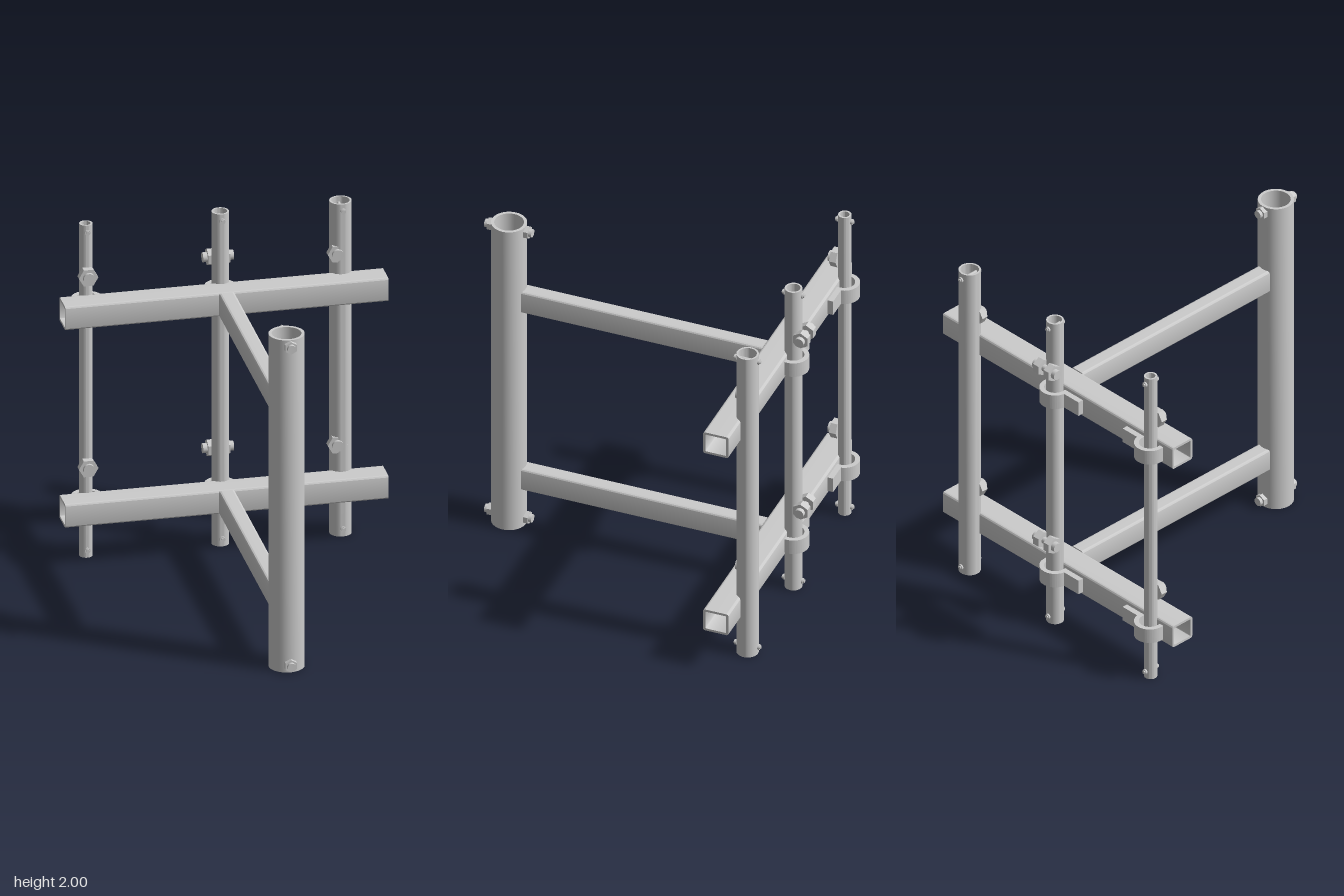
import * as THREE from 'three';
import { toCreasedNormals } from 'three/addons/utils/BufferGeometryUtils.js';

const material = new THREE.MeshStandardMaterial({ color: 0xcccccc });
const BACK_Z = -0.855; // line of the three thin poles
const BEAM_H = 0.14;
const LEVELS = [0.32, 1.51]; // heights of the two frames
const BOLT_LEVELS = [0.55, 1.7];
const END_LEVELS = [0.045, 1.96];

function add(parent, name, geometry, x = 0, y = 0, z = 0) {
  const mesh = new THREE.Mesh(geometry, material);
  mesh.name = name;
  mesh.position.set(x, y, z);
  parent.add(mesh);
  return mesh;
}

function extrude(shape, depth) {
  const geometry = new THREE.ExtrudeGeometry(shape, { depth, bevelEnabled: false, curveSegments: 20 });
  return toCreasedNormals(geometry, 0.6);
}

// Upright hollow pole
function poleGeometry(radius, wall) {
  const shape = new THREE.Shape().absarc(0, 0, radius, 0, Math.PI * 2);
  shape.holes.push(new THREE.Path().absarc(0, 0, radius - wall, 0, Math.PI * 2));
  return extrude(shape, 2).rotateX(-Math.PI / 2);
}

function roundedRect(path, w, h, r) {
  const x = w / 2, y = h / 2;
  path.absarc(x - r, y - r, r, 0, Math.PI / 2);
  path.absarc(-x + r, y - r, r, Math.PI / 2, Math.PI);
  path.absarc(-x + r, -y + r, r, Math.PI, Math.PI * 1.5);
  path.absarc(x - r, -y + r, r, Math.PI * 1.5, Math.PI * 2);
  path.closePath();
  return path;
}

// Hollow box section lying along z, centred
function boxTube(w, h, length) {
  const shape = roundedRect(new THREE.Shape(), w, h, 0.014);
  shape.holes.push(roundedRect(new THREE.Path(), w - 0.028, h - 0.028, 0.006));
  return extrude(shape, length).translate(0, 0, -length / 2);
}

// Hex head with a round boss, pointing along +z from its base
function boltHead(name, radius, thickness, bossRadius, bossLength) {
  const group = new THREE.Group();
  group.name = name;
  const hex = new THREE.CylinderGeometry(radius, radius, thickness, 6).rotateX(Math.PI / 2);
  add(group, 'hexHead', toCreasedNormals(hex, 0.5), 0, 0, thickness / 2);
  const boss = new THREE.CylinderGeometry(bossRadius, bossRadius, bossLength, 20).rotateX(Math.PI / 2);
  add(group, 'boss', boss, 0, 0, thickness + bossLength / 2);
  return group;
}

// Strap half round a pole, with feet on the beam and one long tab towards +x
function clampGeometry(side) {
  const outer = 0.087, inner = 0.06, foot = -0.02, tabTop = 0.014;
  const shape = new THREE.Shape();
  shape.moveTo(inner, foot);
  shape.lineTo(0.2, foot);
  shape.lineTo(0.2, tabTop);
  shape.lineTo(Math.sqrt(outer * outer - tabTop * tabTop), tabTop);
  shape.absarc(0, 0, outer, Math.asin(tabTop / outer), Math.PI, false);
  shape.lineTo(-outer, foot);
  shape.lineTo(-inner, foot);
  shape.absarc(0, 0, inner, Math.PI, 0, true);
  const geometry = extrude(shape, 0.09).rotateX(-Math.PI / 2).translate(0, -0.045, 0);
  return side < 0 ? geometry.rotateZ(Math.PI) : geometry;
}

export function createModel() {
  const model = new THREE.Group();
  model.name = 'poleFrame';

  // Main pole with bolt heads front and back
  add(model, 'mainPole', poleGeometry(0.1, 0.018), 0, 0, 0.83);
  for (const y of END_LEVELS) {
    for (const s of [1, -1]) {
      const head = boltHead('mainPoleBolt', 0.037, 0.03, 0.024, 0.018);
      head.position.set(0, y, 0.83 + s * 0.092);
      if (s < 0) head.rotation.y = Math.PI;
      model.add(head);
    }
  }

  // Two T-shaped frames
  for (const y of LEVELS) {
    add(model, 'crossBeam', boxTube(0.152, BEAM_H, 1.82).rotateY(Math.PI / 2), 0, y, -0.76);
    add(model, 'spineBeam', boxTube(0.09, BEAM_H, 1.475), 0, y, 0.0525);
  }

  // Thin poles, each with small through pins near its ends
  const poles = [['rightPole', -0.757, 0.037], ['centrePole', 0, 0.049], ['leftPole', 0.677, 0.062]];
  for (const [name, x, radius] of poles) {
    add(model, name, poleGeometry(radius, 0.011), x, 0, BACK_Z);
    for (const y of END_LEVELS) {
      const length = radius * 2 + 0.035;
      add(model, 'endPin', new THREE.CylinderGeometry(0.01, 0.01, length, 12).rotateX(Math.PI / 2), x, y, BACK_Z);
      for (const s of [1, -1]) {
        const head = new THREE.CylinderGeometry(0.016, 0.016, 0.01, 12).rotateX(Math.PI / 2);
        add(model, 'pinHead', head, x, y, BACK_Z + s * (radius + 0.006));
      }
    }
  }

  // Strap clamps on the right and centre poles
  for (const y of LEVELS) {
    add(model, 'rightClamp', clampGeometry(1), -0.75, y - 0.003, BACK_Z);
    add(model, 'centreClamp', clampGeometry(-1), 0, y - 0.003, BACK_Z);
  }

  for (const y of BOLT_LEVELS) {
    // Forward-facing bolts on the outer poles
    for (const [x, z] of [[-0.757, -0.822], [0.648, -0.838]]) {
      const head = boltHead('frontBolt', 0.055, 0.04, 0.032, 0.018);
      head.rotation.z = Math.PI / 6;
      head.position.set(x, y, z);
      model.add(head);
    }
    // Pair of sideways bolts behind the centre pole
    for (const s of [1, -1]) {
      const head = boltHead('sideBolt', 0.05, 0.042, 0.028, 0.025);
      head.rotation.y = s * Math.PI / 2;
      head.position.set(s * 0.02, y, -0.92);
      model.add(head);
    }
    add(model, 'sideBoltShaft', new THREE.CylinderGeometry(0.02, 0.02, 0.06, 16).rotateZ(Math.PI / 2), 0, y, -0.92);
  }

  return model;
}
